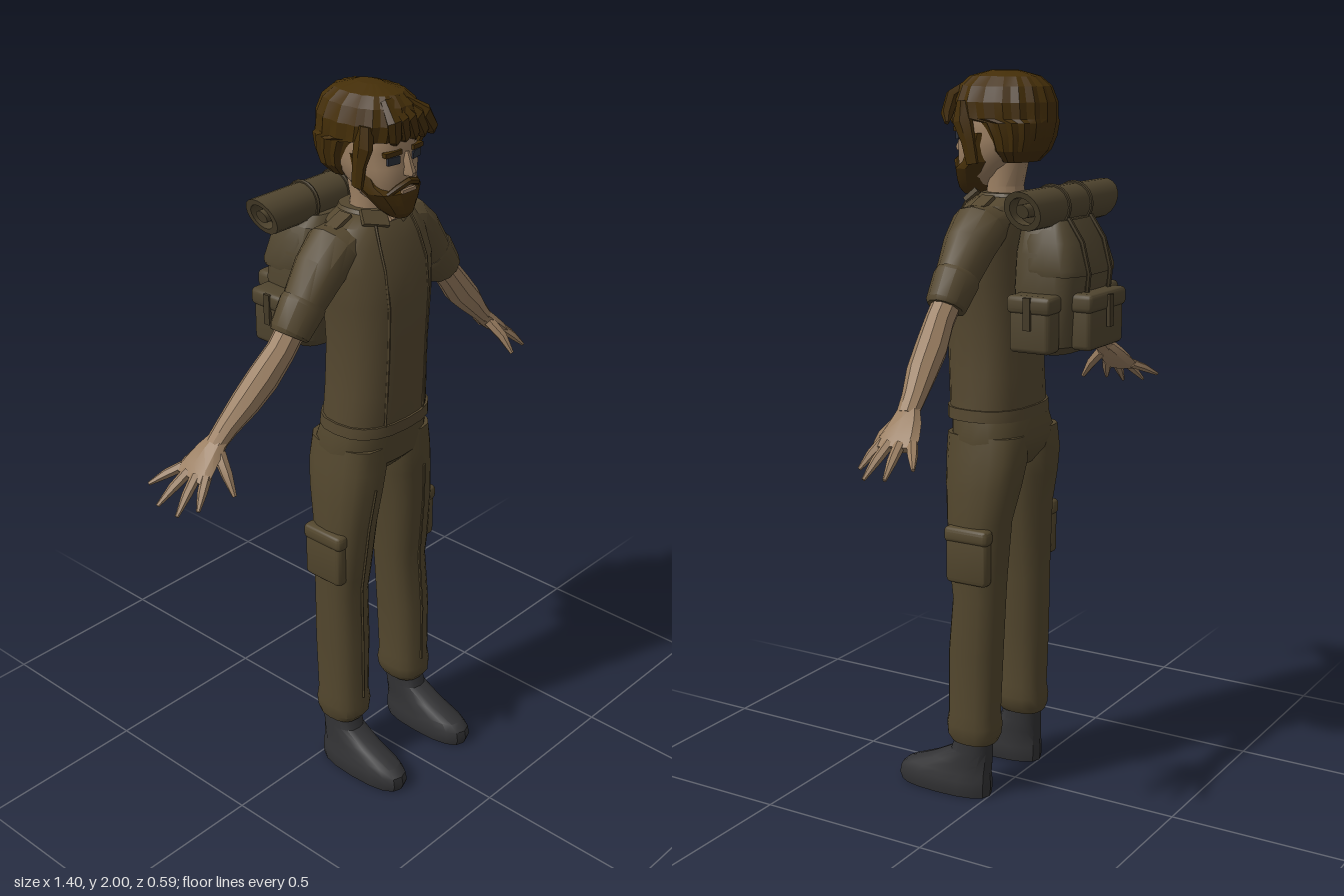
import * as THREE from 'three';
import { toCreasedNormals } from 'three/addons/utils/BufferGeometryUtils.js';
import { RoundedBoxGeometry } from 'three/addons/geometries/RoundedBoxGeometry.js';

const paint = (name, color) => {
  const m = new THREE.MeshStandardMaterial({ color });
  m.name = name;
  return m;
};
const V = (x, y, z) => new THREE.Vector3(x, y, z);

// Skin a list of closed rings and cap both ends
function loft(rings) {
  const n = rings[0].length, pos = [], idx = [];
  for (const r of rings) for (const p of r) pos.push(p.x, p.y, p.z);
  for (let i = 0; i < rings.length - 1; i++) for (let j = 0; j < n; j++) {
    const a = i * n + j, b = i * n + (j + 1) % n, c = a + n, d = b + n;
    idx.push(a, c, b, b, c, d);
  }
  [0, rings.length - 1].forEach((i) => {
    const centre = rings[i].reduce((s, p) => s.add(p), V(0, 0, 0)).divideScalar(n);
    const k = pos.length / 3;
    pos.push(centre.x, centre.y, centre.z);
    for (let j = 0; j < n; j++) {
      const a = i * n + j, b = i * n + (j + 1) % n;
      i === 0 ? idx.push(k, a, b) : idx.push(k, b, a);
    }
  });
  const g = new THREE.BufferGeometry();
  g.setAttribute('position', new THREE.Float32BufferAttribute(pos, 3));
  g.setIndex(idx);
  return g;
}

// Stack of level rings: rows of [y, half width, front z, back z, centre x]
function stack(rows, n = 20, p = 0.8, groove = 0) {
  return loft(rows.map(([y, rx, zf, zb, cx = 0]) => Array.from({ length: n }, (_, j) => {
    const t = j / n * Math.PI * 2, c = Math.cos(t), s = Math.sin(t);
    const k = j % 2 ? 1 - groove : 1;
    return V(cx + k * rx * Math.sign(c) * Math.abs(c) ** p, y,
      (zf + zb) / 2 + k * (zf - zb) / 2 * Math.sign(s) * Math.abs(s) ** p);
  })));
}

// Limb along a path: rows of [x, y, z, thickness radius, depth radius]
function limb(rows, n = 10) {
  const pts = rows.map((r) => V(r[0], r[1], r[2]));
  return loft(rows.map(([, , , ra, rb = ra], i) => {
    const d = pts[Math.min(i + 1, pts.length - 1)].clone().sub(pts[Math.max(i - 1, 0)]).normalize();
    const b = V(0, 0, 1).addScaledVector(d, -d.z).normalize();
    const a = d.clone().cross(b);
    return Array.from({ length: n }, (_, j) => {
      const t = j / n * Math.PI * 2;
      return pts[i].clone().addScaledVector(a, ra * Math.cos(t)).addScaledVector(b, rb * Math.sin(t));
    });
  }));
}

function box(w, h, d, x, y, z, rx = 0, ry = 0, rz = 0) {
  return new THREE.BoxGeometry(w, h, d).rotateX(rx).rotateY(ry).rotateZ(rz).translate(x, y, z);
}
const pouch = (w, h, d, x, y, z) => new RoundedBoxGeometry(w, h, d, 2, 0.014).translate(x, y, z);

export function createModel() {
  const root = new THREE.Group();
  root.name = 'hiker';
  const shirt = paint('shirt cloth', 0x54472f), pants = paint('trouser cloth', 0x52462d);
  const canvas = paint('pack canvas', 0x50452f), strap = paint('strap', 0x443a27);
  const skin = paint('skin', 0x9a7e61), hair = paint('hair', 0x442e08);
  const boot = paint('boot leather', 0x323234), eye = paint('eyes', 0x2b2f39);

  function add(name, geo, mat, crease = 0.6, mirror = false) {
    const src = geo.index ? geo.toNonIndexed() : geo;
    const g = new THREE.BufferGeometry();
    const p = src.attributes.position.clone();
    if (mirror) for (let i = 0; i < p.count; i += 3) {
      const t = [0, 2, 1].map((k) => V().fromBufferAttribute(src.attributes.position, i + k));
      t.forEach((v, k) => p.setXYZ(i + k, -v.x, v.y, v.z));
    }
    g.setAttribute('position', p);
    const mesh = new THREE.Mesh(toCreasedNormals(g, crease), mat);
    mesh.name = name;
    root.add(mesh);
  }
  const pair = (name, geo, mat, crease) => {
    add('left ' + name, geo, mat, crease);
    add('right ' + name, geo, mat, crease, true);
  };

  // Shirt with hem band, collar and front seams
  add('shirt', stack([[1.1, 0.15, 0.165, -0.06], [1.2, 0.142, 0.172, -0.058], [1.32, 0.138, 0.177, -0.056],
    [1.45, 0.148, 0.18, -0.058], [1.54, 0.16, 0.168, -0.058], [1.61, 0.155, 0.14, -0.055],
    [1.655, 0.128, 0.118, -0.05], [1.675, 0.08, 0.1, -0.042]]), shirt);
  add('shirt hem', stack([[1.08, 0.157, 0.172, -0.068], [1.112, 0.155, 0.172, -0.066]]), shirt);
  add('collar', stack([[1.655, 0.088, 0.114, -0.052], [1.684, 0.068, 0.088, -0.045]]), shirt);
  pair('collar flap', box(0.075, 0.042, 0.012, 0.055, 1.672, 0.098, -0.75, 0.35, 0.25), shirt);
  pair('shoulder tab', box(0.06, 0.012, 0.04, 0.115, 1.664, 0.03, 0, 0, -0.4), shirt);
  pair('front seam', limb([[0.076, 1.1, 0.158, 0.004], [0.073, 1.32, 0.165, 0.004], [0.076, 1.45, 0.169, 0.004],
    [0.078, 1.55, 0.157, 0.004], [0.074, 1.62, 0.131, 0.004], [0.066, 1.66, 0.112, 0.004]], 5), shirt);
  add('open neck', box(0.032, 0.032, 0.012, 0, 1.67, 0.106, -0.8, 0, 0), skin);

  // Sleeves with rolled cuffs
  pair('sleeve', limb([[0.08, 1.62, 0.03, 0.045, 0.07], [0.135, 1.6, 0.03, 0.068, 0.078],
    [0.185, 1.555, 0.03, 0.068, 0.07], [0.26, 1.465, 0.03, 0.056, 0.054]], 12), shirt);
  pair('cuff', limb([[0.242, 1.486, 0.03, 0.062, 0.058], [0.25, 1.476, 0.03, 0.066, 0.06],
    [0.298, 1.418, 0.03, 0.055, 0.054], [0.302, 1.412, 0.03, 0.048, 0.048]], 12), shirt);

  // Bare forearms and hands
  pair('forearm', limb([[0.27, 1.45, 0.03, 0.038], [0.33, 1.38, 0.03, 0.04, 0.038], [0.385, 1.32, 0.02, 0.044, 0.042],
    [0.44, 1.27, 0.012, 0.039, 0.04], [0.495, 1.218, 0, 0.029, 0.032], [0.535, 1.18, -0.005, 0.023, 0.029]], 9), skin, 0.4);
  pair('palm', limb([[0.52, 1.193, -0.003, 0.022, 0.029], [0.55, 1.165, -0.01, 0.023, 0.045],
    [0.585, 1.135, -0.015, 0.02, 0.057], [0.612, 1.112, -0.018, 0.013, 0.058]], 8), skin, 0.4);
  const fingers = [['little finger', 0.595, -0.06, 0.668, 1.085, -0.11], ['ring finger', 0.605, -0.03, 0.697, 1.058, -0.047],
    ['middle finger', 0.605, 0.0, 0.692, 1.05, 0.018], ['index finger', 0.595, 0.025, 0.655, 1.063, 0.056]];
  for (const [name, x, z, tx, ty, tz] of fingers)
    pair(name, limb([[x, 1.125, z, 0.014, 0.015], [(x + tx) / 2, (1.13 + ty) / 2, (z + tz) / 2, 0.012, 0.013],
      [tx, ty, tz, 0.005]], 6), skin);
  pair('thumb', limb([[0.54, 1.165, 0.015, 0.018], [0.553, 1.125, 0.055, 0.015], [0.56, 1.078, 0.088, 0.006]], 6), skin);

  // Trousers with cargo pockets and gathered ankles
  add('hips', stack([[0.945, 0.09, 0.11, -0.04], [0.985, 0.16, 0.148, -0.07], [1.03, 0.163, 0.155, -0.08],
    [1.1, 0.148, 0.16, -0.062]]), pants);
  pair('trouser leg', stack([[0.16, 0.052, 0.115, -0.012, 0.135], [0.18, 0.062, 0.13, -0.02, 0.132],
    [0.21, 0.066, 0.132, -0.023, 0.131], [0.245, 0.062, 0.126, -0.018, 0.131], [0.42, 0.066, 0.125, -0.025, 0.129],
    [0.58, 0.067, 0.113, -0.03, 0.123], [0.64, 0.071, 0.12, -0.032, 0.121], [0.8, 0.076, 0.135, -0.042, 0.113],
    [0.9, 0.081, 0.145, -0.065, 0.1], [0.97, 0.082, 0.15, -0.077, 0.09], [1.04, 0.074, 0.15, -0.074, 0.084]], 16), pants);
  pair('cargo pocket', pouch(0.04, 0.15, 0.13, 0.182, 0.71, 0.04), pants);
  pair('pocket flap', pouch(0.044, 0.045, 0.138, 0.183, 0.772, 0.04), pants);
  pair('leg seam', limb([[0.128, 0.24, 0.129, 0.004], [0.128, 0.42, 0.127, 0.004], [0.122, 0.6, 0.117, 0.004],
    [0.114, 0.8, 0.136, 0.004], [0.1, 0.92, 0.148, 0.004]], 5), pants);

  // Boots
  pair('boot', stack([[0, 0.054, 0.288, 0, 0.142], [0.02, 0.058, 0.295, -0.002, 0.142], [0.045, 0.056, 0.29, -0.002, 0.142],
    [0.065, 0.051, 0.268, 0, 0.141], [0.095, 0.047, 0.19, 0, 0.139], [0.13, 0.045, 0.12, 0, 0.137],
    [0.175, 0.046, 0.103, 0.002, 0.136]], 16), boot);

  // Neck, head and face
  add('neck', stack([[1.64, 0.056, 0.085, -0.03], [1.7, 0.048, 0.078, -0.02], [1.79, 0.056, 0.08, -0.04]], 12, 1), skin);
  add('head', stack([[1.7, 0.035, 0.15, 0.07], [1.725, 0.062, 0.155, 0.03], [1.77, 0.082, 0.157, -0.02],
    [1.81, 0.09, 0.158, -0.06], [1.825, 0.09, 0.153, -0.065], [1.85, 0.091, 0.155, -0.07],
    [1.9, 0.088, 0.152, -0.07], [1.95, 0.06, 0.12, -0.04]]), skin);
  add('nose', loft([[1.788, 0.015, 0.178], [1.797, 0.016, 0.181], [1.848, 0.008, 0.16]].map(([y, w, z]) =>
    [V(w, y, 0.145), V(w * 0.4, y, z), V(-w * 0.4, y, z), V(-w, y, 0.145)])), skin);
  pair('eye', box(0.036, 0.02, 0.009, 0.042, 1.831, 0.1475, 0, 0.2, 0), eye);
  pair('eyebrow', box(0.05, 0.012, 0.016, 0.044, 1.85, 0.146, 0, 0.22, -0.08), hair);

  // Beard, moustache and mouth
  add('beard', stack([[1.674, 0.022, 0.155, 0.1], [1.69, 0.042, 0.167, 0.08], [1.715, 0.062, 0.169, 0.06],
    [1.745, 0.085, 0.164, 0.04], [1.765, 0.094, 0.135, 0.025], [1.84, 0.097, 0.095, 0.02]], 20, 0.85, 0.04), hair, 0.3);
  add('moustache', limb([[-0.058, 1.744, 0.143, 0.006], [-0.035, 1.762, 0.158, 0.009], [0, 1.772, 0.163, 0.01],
    [0.035, 1.762, 0.158, 0.009], [0.058, 1.744, 0.143, 0.006]], 6), hair);
  add('mouth', box(0.05, 0.009, 0.008, 0, 1.749, 0.162), skin);

  // Hair: grooved cap, fringe and side locks
  add('hair cap', stack([[1.765, 0.07, 0.02, -0.06], [1.795, 0.1, 0.04, -0.088], [1.83, 0.109, 0.055, -0.104],
    [1.868, 0.115, 0.08, -0.112], [1.878, 0.116, 0.158, -0.113], [1.92, 0.116, 0.168, -0.112],
    [1.96, 0.1, 0.155, -0.097], [1.985, 0.072, 0.128, -0.068], [2.0, 0.025, 0.07, -0.01]], 36, 0.9, 0.05), hair, 0.3);
  for (let i = 0; i < 5; i++) {
    const x = -0.06 + i * 0.035;
    add('fringe lock', limb([[x * 0.4 - 0.02, 1.975, 0.118, 0.012], [x * 0.8, 1.93, 0.155, 0.024, 0.016],
      [x + 0.02, 1.885, 0.15, 0.02, 0.014], [x + 0.035, 1.865, 0.14, 0.006]], 6), hair, 0.3);
  }
  pair('side lock', limb([[0.09, 1.92, 0.1, 0.02], [0.1, 1.87, 0.1, 0.016, 0.03], [0.098, 1.82, 0.085, 0.011, 0.022],
    [0.094, 1.76, 0.075, 0.008, 0.018]], 6), hair, 0.3);

  // Backpack body, lid and pockets
  add('pack body', stack([[1.278, 0.12, -0.065, -0.21], [1.3, 0.138, -0.055, -0.23], [1.45, 0.142, -0.05, -0.243],
    [1.54, 0.132, -0.052, -0.232], [1.61, 0.11, -0.06, -0.205], [1.635, 0.08, -0.08, -0.18]], 20, 0.55), canvas);
  add('pack lid', stack([[1.485, 0.138, -0.085, -0.254], [1.5, 0.14, -0.08, -0.254], [1.57, 0.128, -0.075, -0.232],
    [1.625, 0.1, -0.085, -0.2]], 20, 0.55), canvas);
  add('back pocket', pouch(0.19, 0.14, 0.06, 0, 1.362, -0.25), canvas);
  add('back pocket flap', pouch(0.205, 0.05, 0.07, 0, 1.417, -0.251), canvas);
  pair('side pocket', pouch(0.065, 0.14, 0.12, 0.158, 1.36, -0.15), canvas);
  pair('side pocket flap', pouch(0.074, 0.048, 0.13, 0.16, 1.417, -0.15), canvas);
  pair('pocket strap', box(0.008, 0.085, 0.02, 0.197, 1.395, -0.15), strap);
  add('buckle strap', box(0.022, 0.085, 0.01, 0, 1.39, -0.288), strap);

  // Bedroll with slanted hollow ends, held by two straps
  const L = 0.213, half = [[0.052, -L], [0.036, -L], [0.036, 0.04 - L], [0.018, 0.04 - L], [0.018, -L], [0, -L]];
  const profile = [...half.slice().reverse(), ...half.map(([r, y]) => [r, -y])].map(([r, y]) => new THREE.Vector2(r, y));
  const roll = new THREE.LatheGeometry(profile, 18).rotateZ(Math.PI / 2);
  const rp = roll.attributes.position;
  for (let i = 0; i < rp.count; i++) rp.setX(i, rp.getX(i) * (1 + rp.getY(i) * 2));
  add('bedroll', roll.translate(0, 1.658, -0.145), canvas);
  pair('bedroll strap', new THREE.TorusGeometry(0.053, 0.006, 6, 20).rotateY(Math.PI / 2).translate(0.06, 1.658, -0.145), strap);
  pair('lid strap', limb([[0.06, 1.63, -0.195, 0.009, 0.006], [0.06, 1.57, -0.236, 0.009, 0.006],
    [0.06, 1.49, -0.256, 0.009, 0.006], [0.06, 1.43, -0.25, 0.009, 0.006]], 6), strap);
  return root;
}
